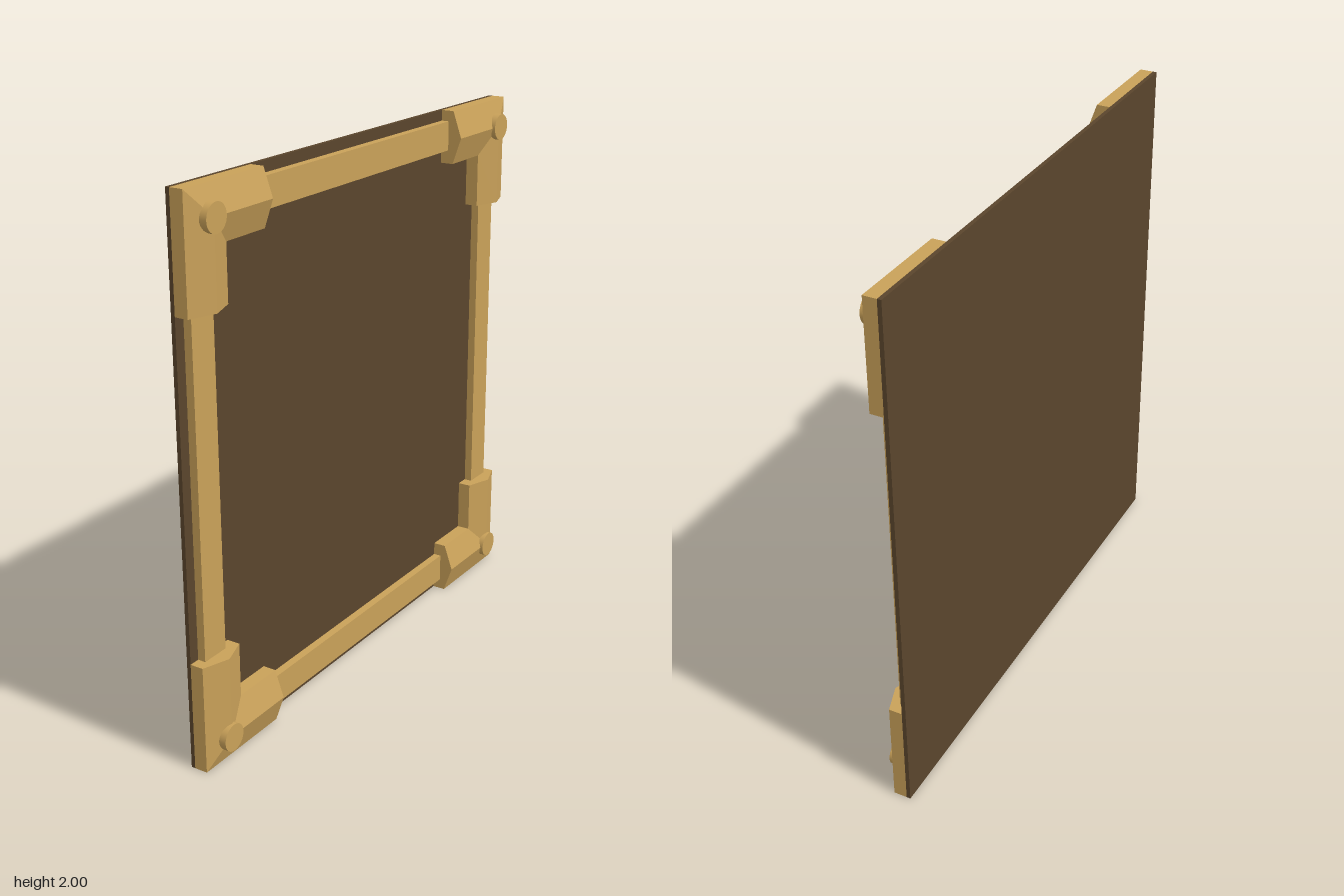
import * as THREE from 'three';

const gold = new THREE.MeshStandardMaterial({ color: 0xc9a159 });
gold.name = 'gold trim';
const brown = new THREE.MeshStandardMaterial({ color: 0x5a452c });
brown.name = 'dark panel';

// L-shaped bracket: a ridged profile swept along two arms with a mitred corner
function bracketGeometry() {
  const profile = [[0, -0.04], [0, 0.01], [0.1, 0.045], [0.2, 0.01], [0.2, -0.04]];
  const reach = 0.4;
  const sections = [
    profile.map(([t, x]) => [x, 1 - t, 1 - reach]),
    profile.map(([t, x]) => [x, 1 - t, 1 - t]),
    profile.map(([t, x]) => [x, 1 - reach, 1 - t]),
  ];
  const pos = [];
  const tri = (a, b, c) => pos.push(...a, ...b, ...c);
  for (let s = 0; s < 2; s++) {
    const A = sections[s], B = sections[s + 1];
    for (let j = 0; j < profile.length - 1; j++) {
      tri(A[j], B[j], B[j + 1]);
      tri(A[j], B[j + 1], A[j + 1]);
    }
  }
  // Arm ends
  const first = sections[0], last = sections[2];
  for (let j = 1; j < profile.length - 1; j++) {
    tri(first[0], first[j], first[j + 1]);
    tri(last[0], last[j + 1], last[j]);
  }
  const g = new THREE.BufferGeometry();
  g.setAttribute('position', new THREE.Float32BufferAttribute(pos, 3));
  g.computeVertexNormals();
  return g;
}

export function createModel() {
  const model = new THREE.Group();
  model.name = 'framedPanel';

  // Backing panel
  const panel = new THREE.Mesh(new THREE.BoxGeometry(0.015, 2, 2), brown);
  panel.name = 'backPanel';
  panel.position.set(-0.0475, 1, 0);
  model.add(panel);

  // Frame, repeated once per side around the panel centre
  const stripGeo = new THREE.BoxGeometry(0.03, 0.11, 1.2);
  const bracketGeo = bracketGeometry();
  const studGeo = new THREE.CylinderGeometry(0.05, 0.05, 0.055, 32).rotateZ(-Math.PI / 2);

  for (let i = 0; i < 4; i++) {
    const side = new THREE.Group();
    side.name = 'frameSide' + (i + 1);
    side.position.y = 1;
    side.rotation.x = i * Math.PI / 2;

    const strip = new THREE.Mesh(stripGeo, gold);
    strip.name = 'edgeStrip';
    strip.position.set(-0.025, 0.905, 0);

    const bracket = new THREE.Mesh(bracketGeo, gold);
    bracket.name = 'cornerBracket';

    const stud = new THREE.Mesh(studGeo, gold);
    stud.name = 'cornerStud';
    stud.position.set(0.0275, 0.9, 0.9);

    side.add(strip, bracket, stud);
    model.add(side);
  }
  return model;
}
